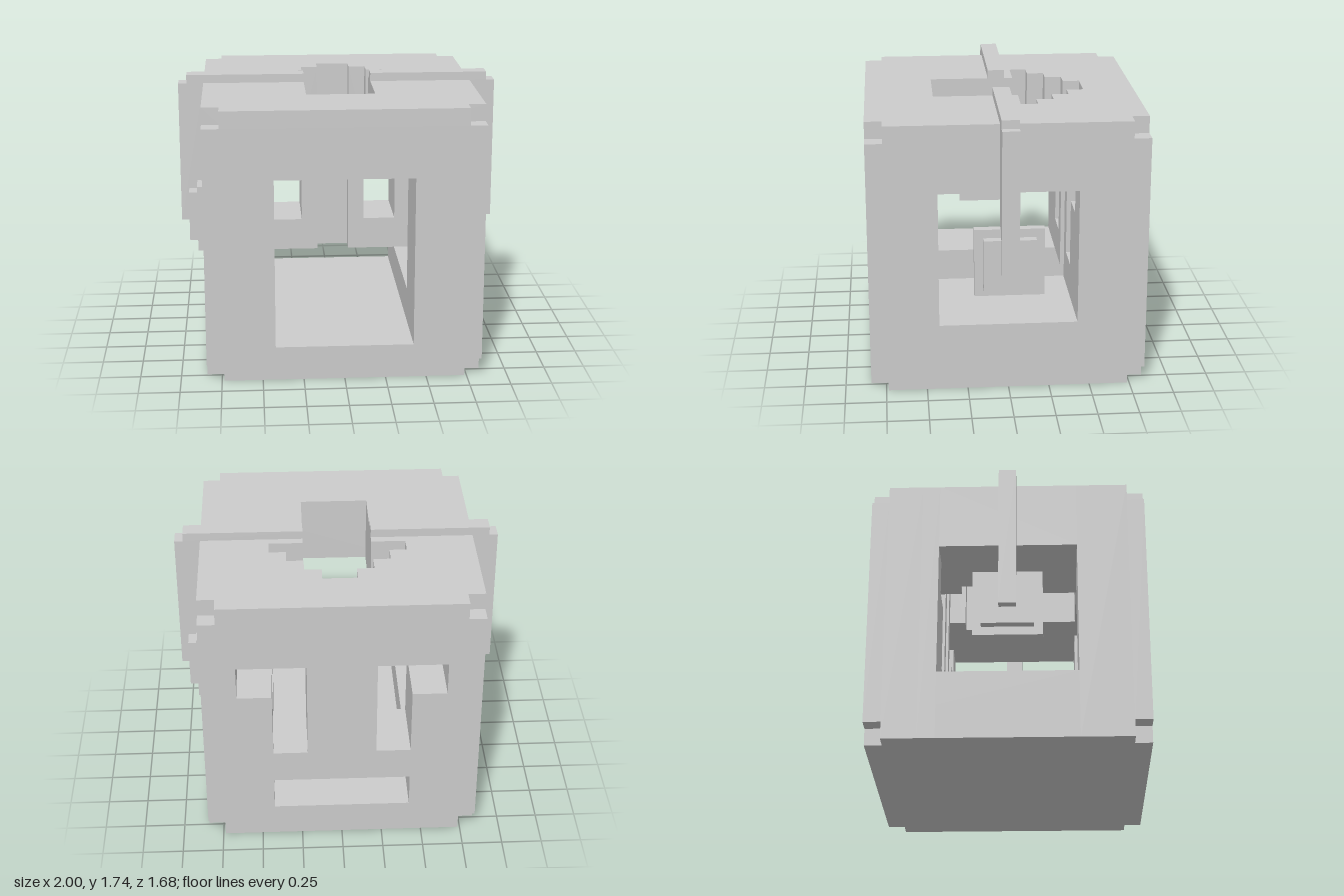
import * as THREE from 'three';

const UNIT = 2 / 19; // the block is 16 units wide, 19 with the side handles
const material = new THREE.MeshStandardMaterial({ color: 0xcccccc, flatShading: true });

export function createModel() {
  const model = new THREE.Group();
  model.name = 'hollowCube';
  model.scale.setScalar(UNIT);

  const add = (name, geometry) => {
    const mesh = new THREE.Mesh(geometry, material);
    mesh.name = name;
    model.add(mesh);
    return mesh;
  };

  // Box given by its limits on each axis
  const box = (name, x0, x1, y0, y1, z0, z1) =>
    add(name, new THREE.BoxGeometry(x1 - x0, y1 - y0, z1 - z0))
      .position.set((x0 + x1) / 2, (y0 + y1) / 2, (z0 + z1) / 2);

  const toPoints = (list) => list.map(([x, y]) => new THREE.Vector2(x, y));
  const mirror = (list) => list.map(([x, y]) => [-x, y]).reverse();
  const rect = (x0, x1, y0, y1) => [[x0, y0], [x1, y0], [x1, y1], [x0, y1]];

  const extrude = (outline, holes, depth) => {
    const shape = new THREE.Shape(toPoints(outline));
    shape.holes = holes.map((h) => new THREE.Path(toPoints(h)));
    return new THREE.ExtrudeGeometry(shape, { depth, bevelEnabled: false });
  };

  // Upright slab between two depths
  const slab = (name, outline, holes, z0, z1) =>
    add(name, extrude(outline, holes, z1 - z0).translate(0, 0, z0));

  // Outlines: full face, and face with its four corners notched
  const full = rect(-8, 8, 0, 16);
  const notched = [
    [-7, 0], [7, 0], [7, 1], [8, 1], [8, 15], [7, 15],
    [7, 16], [-7, 16], [-7, 15], [-8, 15], [-8, 1], [-7, 1],
  ];

  // Front wall with its tall window
  const windowHole = rect(-4, 4, 2, 12);
  slab('frontFace', notched, [windowHole], 7, 8);
  slab('frontWall', full, [windowHole], 4, 7);

  // Back wall with two bent openings and a low slot
  const bentHole = [[2, 6], [4, 6], [4, 10], [6, 10], [6, 12], [2, 12]];
  const bentHoles = [bentHole, mirror(bentHole)];
  const lowSlot = rect(-4, 4, 2, 4);
  slab('backFace', notched, [...bentHoles, lowSlot], -8, -7);
  slab('backWall', full, [...bentHoles, lowSlot], -7, -5);

  // Inner back layer, grooved from the top by the tip of the arrow opening
  const grooved = [
    [-8, 0], [8, 0], [8, 16], [1, 16], [1, 4], [4, 4], [4, 2],
    [-4, 2], [-4, 4], [-1, 4], [-1, 16], [-8, 16],
  ];
  slab('innerBackWall', grooved, bentHoles, -5, -4);

  // Floor between the walls
  box('floor', -8, 8, 0, 2, -4, 4);

  // Roof half: stepped edge of the arrow-shaped opening (x, -z)
  const roofHalf = [
    [8, -4], [8, 4], [2, 4], [2, 3], [3, 3],
    [3, 2], [4, 2], [4, 1], [2, 1], [2, -4],
  ];

  for (const side of [1, -1]) {
    const label = side > 0 ? 'left' : 'right';
    const sideBox = (name, x0, x1, ...rest) =>
      side > 0 ? box(label + name, x0, x1, ...rest) : box(label + name, -x1, -x0, ...rest);

    add(label + 'Roof', extrude(side > 0 ? roofHalf : mirror(roofHalf), [], 4)
      .rotateX(-Math.PI / 2).translate(0, 12, 0));

    // Sill below the side window
    sideBox('Sill', 4, 8, 2, 4, -4, 4);

    // Strap over the top and down the side, ending on stepped plates
    sideBox('TopStrap', 2, 9, 16, 16.5, -0.5, 0.5);
    sideBox('SideStrap', 8, 9.5, 7.5, 16, -0.5, 0.5);
    sideBox('OuterPlate', 8, 8.5, 6, 10, -2, 2);
    sideBox('InnerPlate', 8.5, 9, 6.5, 9.5, -1.5, 1.5);
  }

  const group = new THREE.Group();
  group.add(model);
  return group;
}
